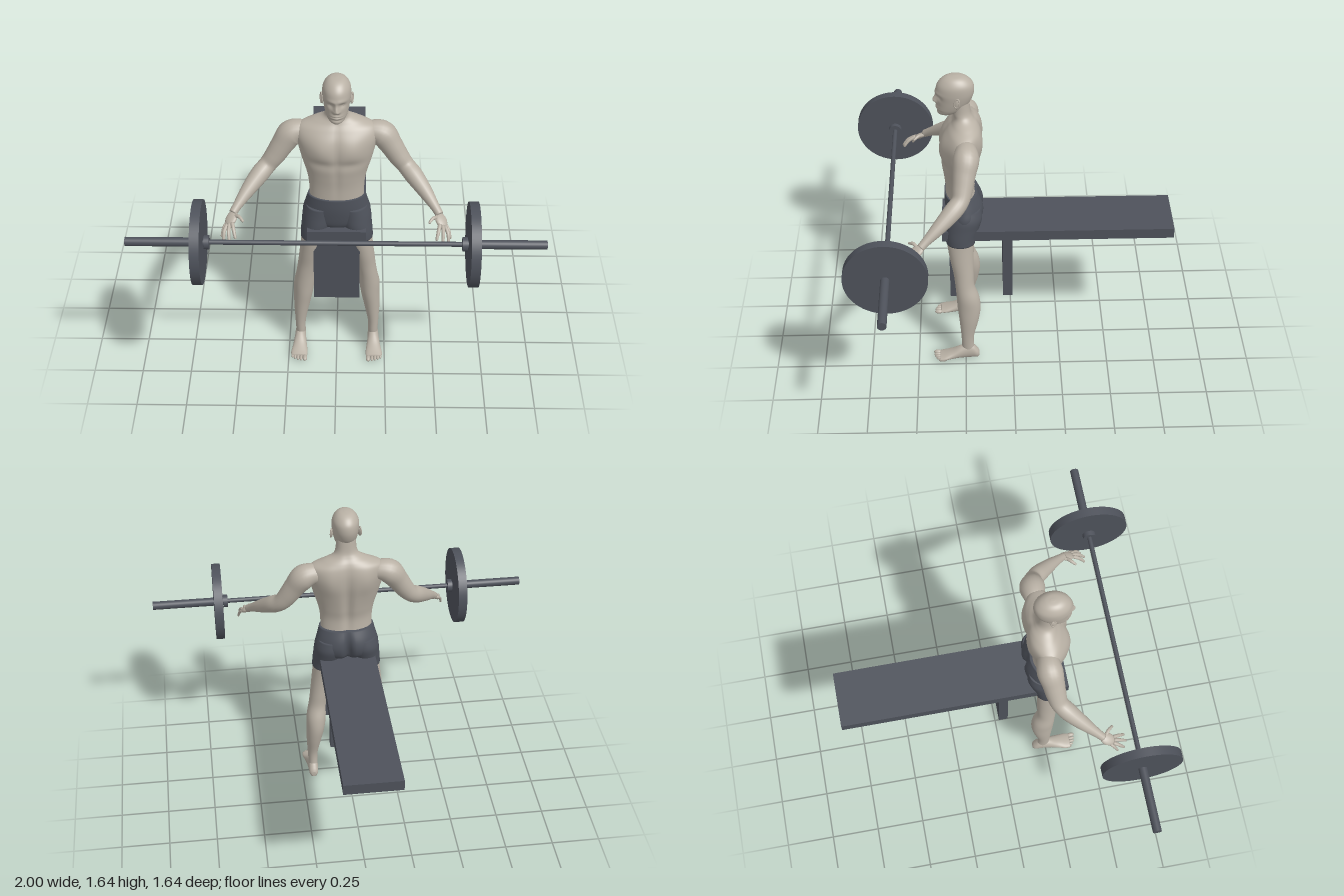
import * as THREE from 'three';

const skin = new THREE.MeshStandardMaterial({ color: 0xb9b1a5 });
skin.name = 'skin';
const charcoal = new THREE.MeshStandardMaterial({ color: 0x4e525b });
charcoal.name = 'charcoal';

const gauss = (d, s) => Math.exp(-(d * d) / (2 * s * s));

// Smooth interpolation of whole rows of numbers
function sampleRows(rows, steps) {
  const out = [], last = rows.length - 1;
  const at = (i) => rows[Math.min(last, Math.max(0, i))];
  for (let k = 0; k <= last * steps; k++) {
    const i = Math.min(last - 1, Math.floor(k / steps)), t = k / steps - i;
    out.push(at(i).map((b, c) => {
      const a = at(i - 1)[c], d = at(i + 1)[c], e = at(i + 2)[c];
      return b + 0.5 * t * (d - a + t * (2 * a - 5 * b + 4 * d - e + t * (3 * (b - d) + e - a)));
    }));
  }
  return out;
}

// Closed skin over a stack of rings
function skinRings(rings) {
  const n = rings[0].length, pos = [], idx = [];
  rings.forEach((r) => r.forEach((p) => pos.push(p.x, p.y, p.z)));
  for (let j = 0; j < rings.length - 1; j++)
    for (let i = 0; i < n; i++) {
      const a = j * n + i, b = j * n + ((i + 1) % n);
      idx.push(a, b, a + n, b, b + n, a + n);
    }
  [0, rings.length - 1].forEach((j) => {
    const c = new THREE.Vector3();
    rings[j].forEach((p) => c.addScaledVector(p, 1 / n));
    const ci = pos.length / 3;
    pos.push(c.x, c.y, c.z);
    for (let i = 0; i < n; i++) {
      const a = j * n + i, b = j * n + ((i + 1) % n);
      if (j === 0) idx.push(ci, b, a); else idx.push(ci, a, b);
    }
  });
  const g = new THREE.BufferGeometry();
  g.setAttribute('position', new THREE.Float32BufferAttribute(pos, 3));
  g.setIndex(idx);
  g.computeVertexNormals();
  return g;
}

// Rows bottom to top: [y, centre x, half width, front z, back z]
function loft(rows, { seg = 32, steps = 5, side = 1, sculpt } = {}) {
  return skinRings(sampleRows(rows, steps).map(([y, cx, hw, zf, zb]) => {
    const ring = [];
    for (let i = 0; i < seg; i++) {
      const a = (i / seg) * Math.PI * 2;
      const p = new THREE.Vector3(cx * side + hw * Math.sin(a), y, (zf + zb) / 2 + ((zf - zb) / 2) * Math.cos(a));
      if (sculpt) sculpt(p, Math.cos(a));
      ring.push(p);
    }
    return ring;
  }));
}

// Tapered limb through points [x, y, z, radius]
function limb(points, { seg = 20, steps = 5, side = 1 } = {}) {
  const rows = sampleRows(points, steps);
  const at = rows.map(([x, y, z]) => new THREE.Vector3(x * side, y, z));
  const ref = new THREE.Vector3(0, 0, 1);
  return skinRings(at.map((c, k) => {
    const t = at[Math.min(k + 1, at.length - 1)].clone().sub(at[Math.max(k - 1, 0)]).normalize();
    const n = ref.addScaledVector(t, -ref.dot(t)).normalize().clone();
    const b = t.clone().cross(n);
    return Array.from({ length: seg }, (_, i) => {
      const a = (i / seg) * Math.PI * 2;
      return c.clone().addScaledVector(n, rows[k][3] * Math.cos(a)).addScaledVector(b, rows[k][3] * Math.sin(a));
    });
  }));
}

function add(parent, name, geometry, material) {
  const m = new THREE.Mesh(geometry, material);
  m.name = name;
  parent.add(m);
  return m;
}

function ellipsoid(parent, name, [x, y, z], [sx, sy, sz]) {
  const m = add(parent, name, new THREE.SphereGeometry(1, 16, 12), skin);
  m.position.set(x, y, z);
  m.scale.set(sx, sy, sz);
  return m;
}

// Chest, belly, back and neck muscles
function sculptTorso(p, c) {
  const x = Math.abs(p.x), y = p.y, front = Math.max(0, c), back = Math.max(0, -c);
  p.z += front * (0.014 * gauss(x - 0.08, 0.045) * gauss(y - 1.265, 0.045) - 0.007 * gauss(x, 0.012) * gauss(y - 1.2, 0.14));
  p.z -= front * 0.008 * gauss(x - 0.07, 0.06) * gauss(y - 1.185, 0.018);
  p.z += back * 0.016 * gauss(x, 0.016) * gauss(y - 1.15, 0.15);
  p.z -= back * 0.012 * gauss(x - 0.1, 0.035) * gauss(y - 1.28, 0.06);
}

// Nose, eye sockets, brow, lips and chin
function sculptFace(p, c) {
  if (c < 0) return;
  const x = Math.abs(p.x), y = p.y;
  p.z += 0.019 * gauss(x, 0.008) * gauss(y - 1.505, y > 1.505 ? 0.018 : 0.007);
  p.z += 0.008 * gauss(x - 0.01, 0.006) * gauss(y - 1.498, 0.006);
  p.z -= 0.011 * gauss(x - 0.027, 0.013) * gauss(y - 1.53, 0.01);
  p.z += 0.004 * gauss(x - 0.022, 0.02) * gauss(y - 1.552, 0.007);
  p.z += 0.007 * gauss(x, 0.018) * gauss(y - 1.469, 0.009) - 0.006 * gauss(x, 0.018) * gauss(y - 1.469, 0.002);
  p.z -= 0.005 * gauss(x, 0.025) * gauss(y - 1.453, 0.005);
}

// Seat cleft and round buttocks
function sculptSeat(p, c) {
  if (c < 0) p.z -= c * (0.03 * gauss(p.x, 0.012) - 0.008 * gauss(Math.abs(p.x) - 0.07, 0.04)) * gauss(p.y - 0.86, 0.06);
}

function buildHead(man) {
  const head = new THREE.Group();
  head.name = 'head';
  man.add(head);
  add(head, 'skull', loft([
    [1.425, 0, 0.02, 0.352, 0.3], [1.435, 0, 0.036, 0.362, 0.27], [1.455, 0, 0.049, 0.365, 0.238],
    [1.48, 0, 0.057, 0.364, 0.215], [1.51, 0, 0.063, 0.365, 0.195], [1.55, 0, 0.068, 0.369, 0.182],
    [1.59, 0, 0.066, 0.361, 0.184], [1.618, 0, 0.052, 0.34, 0.204], [1.634, 0, 0.032, 0.312, 0.232],
    [1.639, 0, 0.006, 0.28, 0.262]], { seg: 96, steps: 9, sculpt: sculptFace }), skin);
  for (const s of [1, -1]) {
    ellipsoid(head, 'eye', [s * 0.027, 1.53, 0.337], [0.011, 0.008, 0.011]);
    ellipsoid(head, 'ear', [s * 0.069, 1.518, 0.268], [0.006, 0.026, 0.014]).rotation.set(-0.2, s * -0.35, 0);
    const rim = add(head, 'earRim', new THREE.TorusGeometry(0.013, 0.0035, 8, 20), skin);
    rim.position.set(s * 0.073, 1.521, 0.265);
    rim.rotation.set(-0.2, Math.PI / 2 - s * 0.35, 0);
    rim.scale.y = 1.8;
  }
}

function buildArm(man, side) {
  const arm = new THREE.Group();
  arm.name = side > 0 ? 'leftArm' : 'rightArm';
  man.add(arm);
  add(arm, 'armMuscle', limb([
    [0.13, 1.305, 0.23, 0.045], [0.175, 1.312, 0.226, 0.055], [0.222, 1.295, 0.226, 0.064], [0.262, 1.24, 0.236, 0.056],
    [0.3, 1.18, 0.245, 0.05], [0.335, 1.135, 0.257, 0.044], [0.375, 1.1, 0.295, 0.045],
    [0.43, 1.05, 0.36, 0.035], [0.475, 1.005, 0.42, 0.023], [0.497, 0.98, 0.45, 0.02]], { side }), skin);
  const palm = ellipsoid(arm, 'palm', [side * 0.504, 0.962, 0.472], [0.031, 0.014, 0.043]);
  palm.rotation.set(0.55, side * 0.3, side * -0.45);
  // Knuckle, middle joint and tip of each finger
  [[[0.527, 0.943, 0.483], [0.541, 0.925, 0.502], [0.549, 0.892, 0.518]],
    [[0.523, 0.945, 0.498], [0.536, 0.925, 0.53], [0.538, 0.89, 0.552]],
    [[0.511, 0.952, 0.502], [0.513, 0.933, 0.54], [0.51, 0.902, 0.566]],
    [[0.497, 0.958, 0.502], [0.489, 0.94, 0.537], [0.481, 0.912, 0.56]],
    [[0.487, 0.973, 0.465], [0.465, 0.982, 0.484], [0.447, 0.972, 0.505]]].forEach(([k, m, t], i) => {
    const r = i === 0 ? 0.0075 : 0.0088;
    add(arm, i < 4 ? 'finger' : 'thumb', limb([[...k, r * 1.1], [...m, r], [...t, r * 0.75]], { side, seg: 10, steps: 4 }), skin);
    ellipsoid(arm, 'fingertip', [t[0] * side, t[1], t[2]], [r * 0.75, r * 0.75, r * 0.75]);
  });
}

function buildLeg(man, side) {
  const leg = new THREE.Group();
  leg.name = side > 0 ? 'leftLeg' : 'rightLeg';
  man.add(leg);
  add(leg, 'legMuscle', loft([
    [0.03, 0.19, 0.026, 0.265, 0.19], [0.08, 0.19, 0.025, 0.27, 0.205], [0.15, 0.19, 0.028, 0.272, 0.205],
    [0.25, 0.182, 0.041, 0.28, 0.18], [0.33, 0.173, 0.049, 0.288, 0.168], [0.4, 0.168, 0.052, 0.292, 0.175],
    [0.47, 0.16, 0.047, 0.297, 0.198], [0.54, 0.148, 0.049, 0.305, 0.2], [0.62, 0.135, 0.053, 0.32, 0.2],
    [0.7, 0.12, 0.059, 0.332, 0.196], [0.78, 0.106, 0.066, 0.335, 0.19]], { side }), skin);
  // Foot runs heel to toe, then is laid flat
  const foot = loft([
    [0.178, 0.191, 0.012, -0.012, -0.04], [0.19, 0.191, 0.023, -0.002, -0.06], [0.22, 0.191, 0.027, 0, -0.09],
    [0.27, 0.192, 0.03, 0, -0.078], [0.32, 0.193, 0.037, 0, -0.05], [0.36, 0.195, 0.043, 0, -0.033],
    [0.388, 0.195, 0.04, -0.003, -0.024]], { side });
  foot.rotateX(Math.PI / 2);
  add(leg, 'foot', foot, skin);
  [0.165, 0.185, 0.201, 0.216, 0.229].forEach((x, i) =>
    ellipsoid(leg, 'toe', [side * x, 0.012 - i * 0.0006, 0.4 - i * i * 0.0016], [i ? 0.008 : 0.012, i ? 0.01 : 0.012, 0.022]));
  add(leg, 'shortsLeg', loft([
    [0.722, 0.117, 0.064, 0.338, 0.19], [0.76, 0.109, 0.07, 0.341, 0.183], [0.81, 0.096, 0.078, 0.342, 0.165],
    [0.86, 0.088, 0.081, 0.338, 0.152], [0.91, 0.08, 0.074, 0.335, 0.16]], { side }), charcoal);
}

function buildBench(group) {
  const bench = new THREE.Group();
  bench.name = 'bench';
  group.add(bench);
  add(bench, 'benchTop', new THREE.BoxGeometry(0.292, 0.056, 1.18), charcoal).position.set(0, 0.773, -0.232);
  for (const z of [0.024, 0.3])
    add(bench, 'benchLeg', new THREE.BoxGeometry(0.232, 0.39, 0.048), charcoal).position.set(0, 0.553, z);
}

function buildBarbell(group) {
  const barbell = new THREE.Group();
  barbell.name = 'barbell';
  barbell.position.set(0, 0.927, 0.615);
  group.add(barbell);
  const rod = (name, r, x0, x1, seg) => {
    const g = new THREE.CylinderGeometry(r, r, Math.abs(x1 - x0), seg).rotateZ(Math.PI / 2);
    add(barbell, name, g, charcoal).position.x = (x0 + x1) / 2;
  };
  rod('bar', 0.012, -0.61, 0.61, 24);
  for (const s of [1, -1]) {
    rod('collar', 0.034, s * 0.6, s * 0.624, 32);
    rod('weightPlate', 0.203, s * 0.628, s * 0.674, 64);
    rod('sleeve', 0.022, s * 0.615, s, 32);
  }
}

export function createModel() {
  const group = new THREE.Group();
  const man = new THREE.Group();
  man.name = 'man';
  group.add(man);
  add(man, 'torso', loft([
    [0.94, 0, 0.135, 0.335, 0.18], [1.03, 0, 0.135, 0.337, 0.187], [1.1, 0, 0.145, 0.345, 0.175],
    [1.18, 0, 0.168, 0.355, 0.16], [1.25, 0, 0.186, 0.354, 0.148], [1.31, 0, 0.198, 0.341, 0.146],
    [1.355, 0, 0.185, 0.316, 0.153], [1.385, 0, 0.125, 0.294, 0.166], [1.41, 0, 0.072, 0.285, 0.185],
    [1.44, 0, 0.054, 0.292, 0.198], [1.5, 0, 0.05, 0.295, 0.205]], { seg: 72, steps: 7, sculpt: sculptTorso }), skin);
  add(man, 'shorts', loft([
    [0.79, 0, 0.09, 0.315, 0.2], [0.82, 0, 0.155, 0.33, 0.165], [0.87, 0, 0.168, 0.338, 0.149],
    [0.92, 0, 0.156, 0.342, 0.153], [0.975, 0, 0.141, 0.341, 0.174]], { seg: 72, sculpt: sculptSeat }), charcoal);
  buildHead(man);
  for (const side of [1, -1]) {
    buildArm(man, side);
    buildLeg(man, side);
  }
  buildBench(group);
  buildBarbell(group);
  return group;
}
